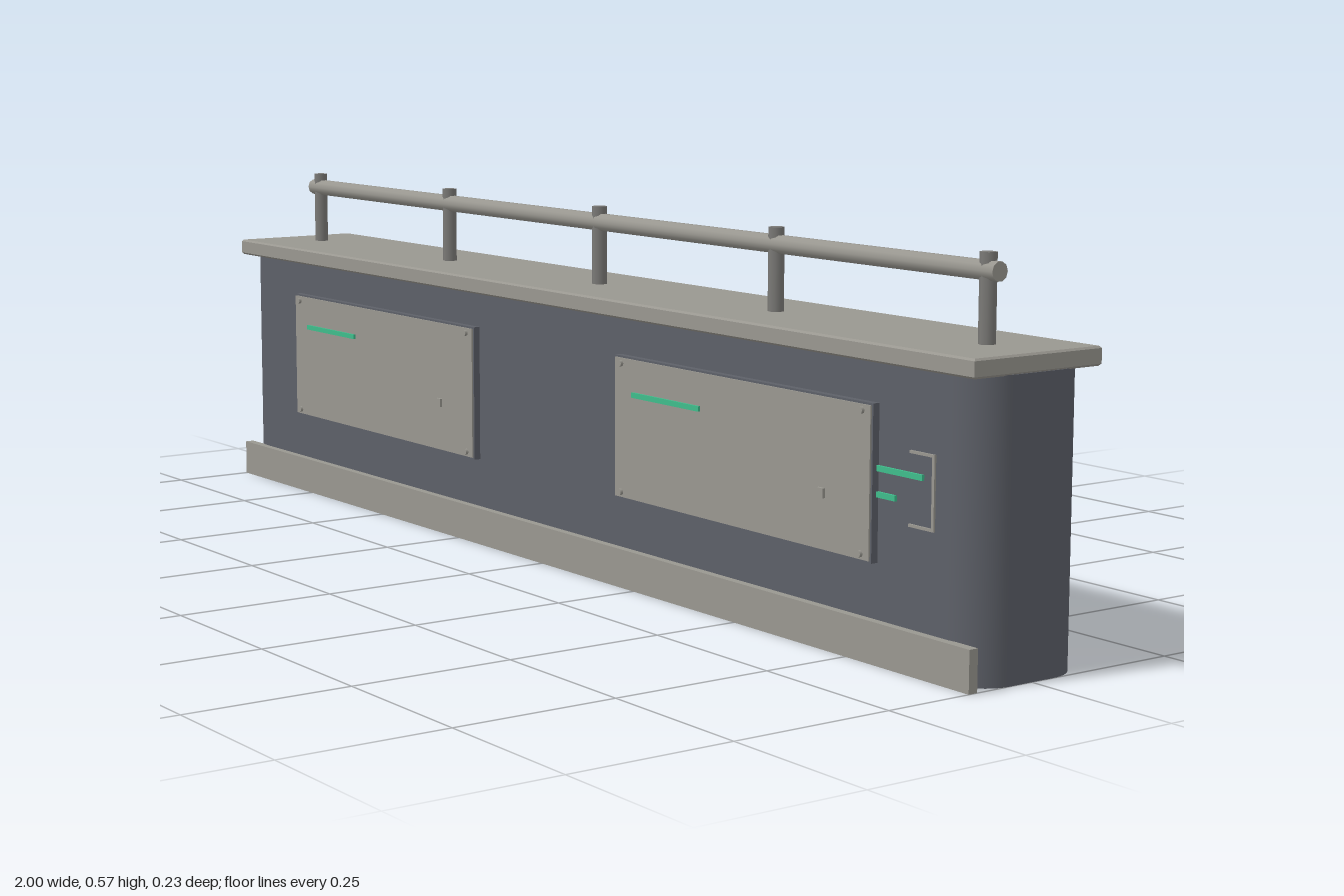
import * as THREE from 'three';

export function createModel() {
  const model = new THREE.Group();
  model.name = 'serviceCounter';

  const material = (name, color) => {
    const m = new THREE.MeshStandardMaterial({ color });
    m.name = name;
    return m;
  };
  const slate = material('slate body', 0x5d6068);
  const stone = material('warm grey trim', 0x999790);
  const steel = material('post steel', 0x7b7a77);
  const green = material('green light', 0x3fbd8c);

  const add = (name, geometry, mat, x = 0, y = 0, z = 0) => {
    const mesh = new THREE.Mesh(geometry, mat);
    mesh.name = name;
    mesh.position.set(x, y, z);
    model.add(mesh);
    return mesh;
  };
  // Box given by its limits on each axis
  const box = (name, mat, x0, x1, y0, y1, z0, z1) =>
    add(name, new THREE.BoxGeometry(x1 - x0, y1 - y0, z1 - z0), mat,
      (x0 + x1) / 2, (y0 + y1) / 2, (z0 + z1) / 2);

  // Body: long block with rounded vertical corners
  const w = 1, d = 0.1, r = 0.06;
  const plan = new THREE.Shape();
  plan.moveTo(-w + r, -d);
  plan.lineTo(w - r, -d);
  plan.absarc(w - r, -d + r, r, -Math.PI / 2, 0);
  plan.lineTo(w, d - r);
  plan.absarc(w - r, d - r, r, 0, Math.PI / 2);
  plan.lineTo(-w + r, d);
  plan.absarc(-w + r, d - r, r, Math.PI / 2, Math.PI);
  plan.lineTo(-w, -d + r);
  plan.absarc(-w + r, -d + r, r, Math.PI, Math.PI * 1.5);
  const bodyGeometry = new THREE.ExtrudeGeometry(plan, { depth: 0.416, bevelEnabled: false, curveSegments: 8 });
  bodyGeometry.rotateX(-Math.PI / 2);
  // Smooth the walls around the corner arcs
  const p = bodyGeometry.attributes.position, n = bodyGeometry.attributes.normal;
  for (let i = 0; i < p.count; i++) {
    if (Math.abs(n.getY(i)) > 0.5) continue;
    const x = p.getX(i), z = p.getZ(i);
    const dx = x - THREE.MathUtils.clamp(x, -w + r, w - r);
    const dz = z - THREE.MathUtils.clamp(z, -d + r, d - r);
    const len = Math.hypot(dx, dz);
    n.setXYZ(i, dx / len, 0, dz / len);
  }
  add('body', bodyGeometry, slate);

  // Worktop with a fine chamfer
  const c = 0.003;
  const topShape = new THREE.Shape();
  topShape.moveTo(-1 + c, -0.114 + c);
  topShape.lineTo(1 - c, -0.114 + c);
  topShape.lineTo(1 - c, 0.114 - c);
  topShape.lineTo(-1 + c, 0.114 - c);
  const topGeometry = new THREE.ExtrudeGeometry(topShape, {
    depth: 0.027 - 2 * c, bevelThickness: c, bevelSize: c, bevelSegments: 1,
  });
  topGeometry.rotateX(-Math.PI / 2);
  add('worktop', topGeometry, stone, 0, 0.415 + c, 0);

  // Kick board along the front
  box('kickBoard', stone, -1, 1, 0, 0.06, 0.098, 0.113);

  // Two front panels with screws, latch and light strip
  const stud = new THREE.CylinderGeometry(0.005, 0.005, 0.006, 8);
  stud.rotateX(Math.PI / 2);
  for (const x of [-0.5, 0.5]) {
    box('panelFrame', slate, x - 0.3, x + 0.3, 0.139, 0.359, 0.098, 0.111);
    box('panelFace', stone, x - 0.297, x + 0.297, 0.142, 0.356, 0.111, 0.1135);
    for (const sx of [-0.28, 0.28])
      for (const y of [0.15, 0.348]) add('panelScrew', stud, stone, x + sx, y, 0.115);
    box('panelLatch', stone, x + 0.19, x + 0.204, 0.215, 0.229, 0.113, 0.118);
    box('panelLight', green, x - 0.25, x - 0.083, 0.299, 0.307, 0.113, 0.117);
  }

  // Corner bracket and light lines beside the right-hand panel
  box('bracketSide', stone, 0.91, 0.915, 0.2, 0.304, 0.098, 0.103);
  for (const y of [0.2, 0.3]) box('bracketArm', stone, 0.865, 0.91, y, y + 0.004, 0.099, 0.103);
  box('statusLine', green, 0.78, 0.892, 0.266, 0.274, 0.099, 0.104);
  box('statusLine', green, 0.78, 0.838, 0.23, 0.238, 0.099, 0.104);

  // Rail on five posts
  const railGeometry = new THREE.CylinderGeometry(0.014, 0.014, 1.845, 10);
  railGeometry.rotateZ(Math.PI / 2);
  add('rail', railGeometry, stone, 0, 0.541, 0);
  const postGeometry = new THREE.CylinderGeometry(0.012, 0.012, 0.126, 8);
  for (let i = -2; i <= 2; i++) add('railPost', postGeometry, steel, i * 0.45, 0.503, 0);

  return model;
}
